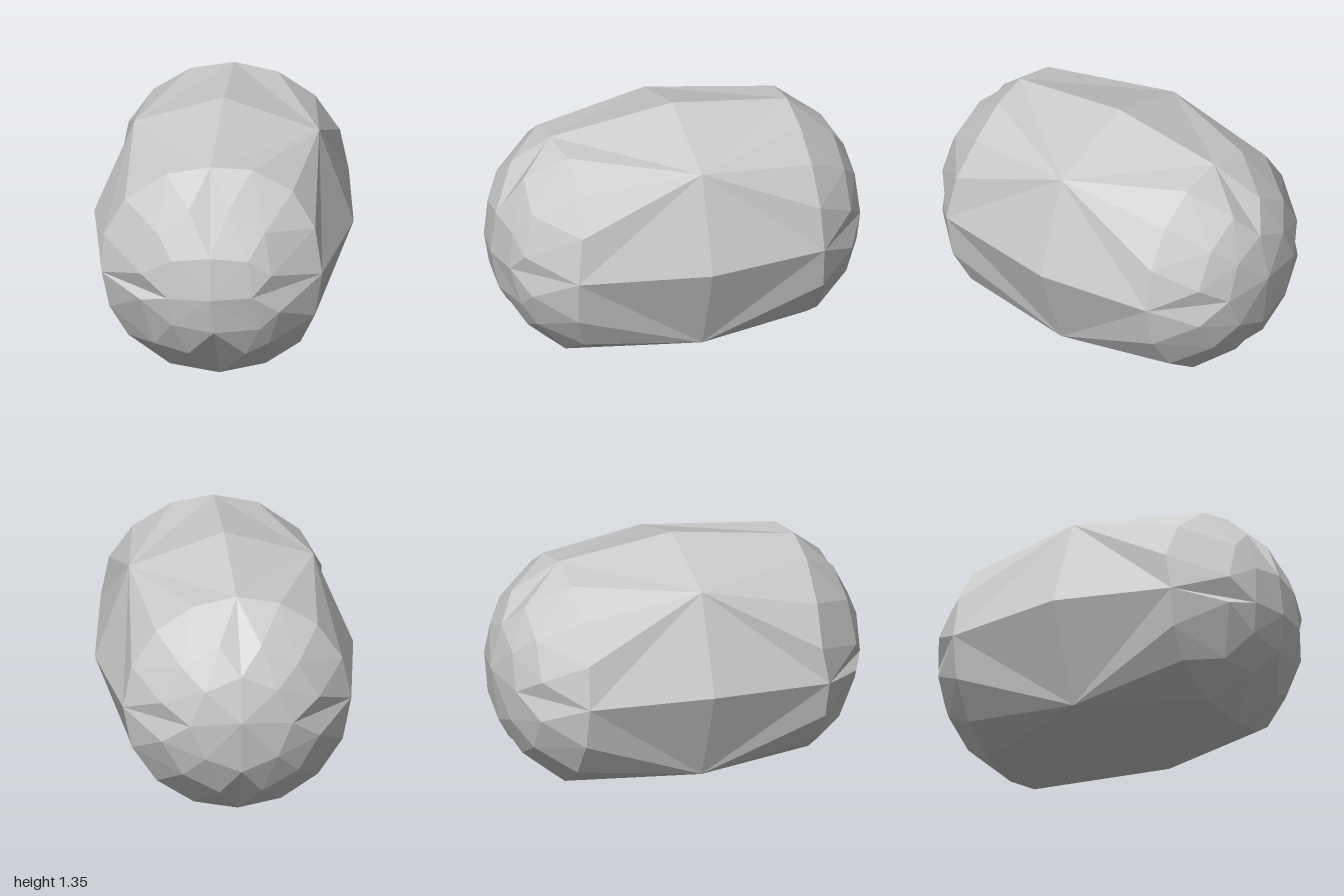
import * as THREE from 'three';

// Regular ring of n points, clockwise from the top as seen from the front
const ring = (n, r, cx, cy, offset = 0) => Array.from({ length: n }, (_, i) => {
  const a = ((i + offset) / n) * Math.PI * 2;
  return [cx + r * Math.sin(a), cy + r * Math.cos(a)];
});

// Octagonal waist at z = 0
const waist = [[0, 1.35], [0.5, 1.18], [0.68, 0.665], [0.5, 0.18],
  [0, 0], [-0.47, 0.16], [-0.68, 0.68], [-0.47, 1.2]];

// Rings of 16, 12 and 8 points closing on a tip
const frontRings = {
  outer: [[-0.02, 1.25], [0.2, 1.23], [0.41, 1.11], [0.53, 0.92],
    [0.57, 0.675], [0.53, 0.43], [0.45, 0.25], [0.27, 0.14],
    [0.03, 0.09], [-0.23, 0.12], [-0.45, 0.27], [-0.55, 0.43],
    [-0.59, 0.63], [-0.585, 0.83], [-0.47, 1.04], [-0.25, 1.2]],
  middle: [[0.09, 1.09], [0.28, 0.97], [0.32, 0.75], [0.36, 0.53],
    [0.3, 0.33], [0.18, 0.27], [-0.12, 0.27], [-0.3, 0.3],
    [-0.37, 0.58], [-0.37, 0.73], [-0.28, 0.95], [-0.12, 1.08]],
  inner: [[0, 0.86], [0.2, 0.84], [0.22, 0.64], [0.26, 0.44],
    [0.02, 0.43], [-0.2, 0.46], [-0.22, 0.62], [-0.2, 0.83]],
  tip: [0, 0.63],
};
const backRings = {
  outer: ring(16, 0.6, 0.005, 0.67),
  middle: ring(12, 0.43, 0.01, 0.67, 0.5),
  inner: ring(8, 0.27, 0.015, 0.68),
  tip: [0.02, 0.71],
};

// Domed end: depth follows an ellipse of the distance from the axis
function domePoint([x, y], side) {
  const r = Math.hypot(x, y - 0.66);
  return [x, y, side * (0.4 + 0.6 * Math.sqrt(Math.max(0, 1 - (r / 0.66) ** 2)))];
}

// One quadrant: waist (M), outer (A), middle (B), inner (C) and tip (T)
const faces = ['M0 M1 A0', 'M1 A1 A0', 'M1 A2 A1', 'M1 A3 A2', 'M1 A4 A3', 'M1 M2 A4',
  'A0 A1 B0', 'A1 B1 B0', 'A1 A2 B1', 'A2 A3 B1', 'A3 B2 B1', 'A3 A4 B2',
  'A0 B0 C0', 'B2 A4 C2', // notches on the axes
  'B0 B1 C1', 'B0 C1 C0', 'B1 B2 C1', 'B2 C2 C1', 'C0 C1 T0', 'C1 C2 T0'];

function halfShell(rings, side) {
  const dome = (list) => list.map((p) => domePoint(p, side));
  const points = {
    M: waist.map(([x, y]) => [x, y, 0]),
    A: dome(rings.outer), B: dome(rings.middle), C: dome(rings.inner), T: dome([rings.tip]),
  };
  const positions = [];
  for (let q = 0; q < 4; q++) {
    for (const face of faces) {
      const corners = face.split(' ').map((key) => {
        const list = points[key[0]];
        return list[(q * list.length / 4 + Number(key[1])) % list.length | 0];
      });
      if (side > 0) corners.reverse();
      positions.push(...corners.flat());
    }
  }
  const geometry = new THREE.BufferGeometry();
  geometry.setAttribute('position', new THREE.Float32BufferAttribute(positions, 3));
  geometry.computeVertexNormals();
  return geometry;
}

export function createModel() {
  const group = new THREE.Group();
  group.name = 'pebble';
  const material = new THREE.MeshStandardMaterial({ color: 0xcccccc, flatShading: true });
  for (const [name, rings, side] of [['frontHalf', frontRings, 1], ['backHalf', backRings, -1]]) {
    const mesh = new THREE.Mesh(halfShell(rings, side), material);
    mesh.name = name;
    group.add(mesh);
  }
  return group;
}
